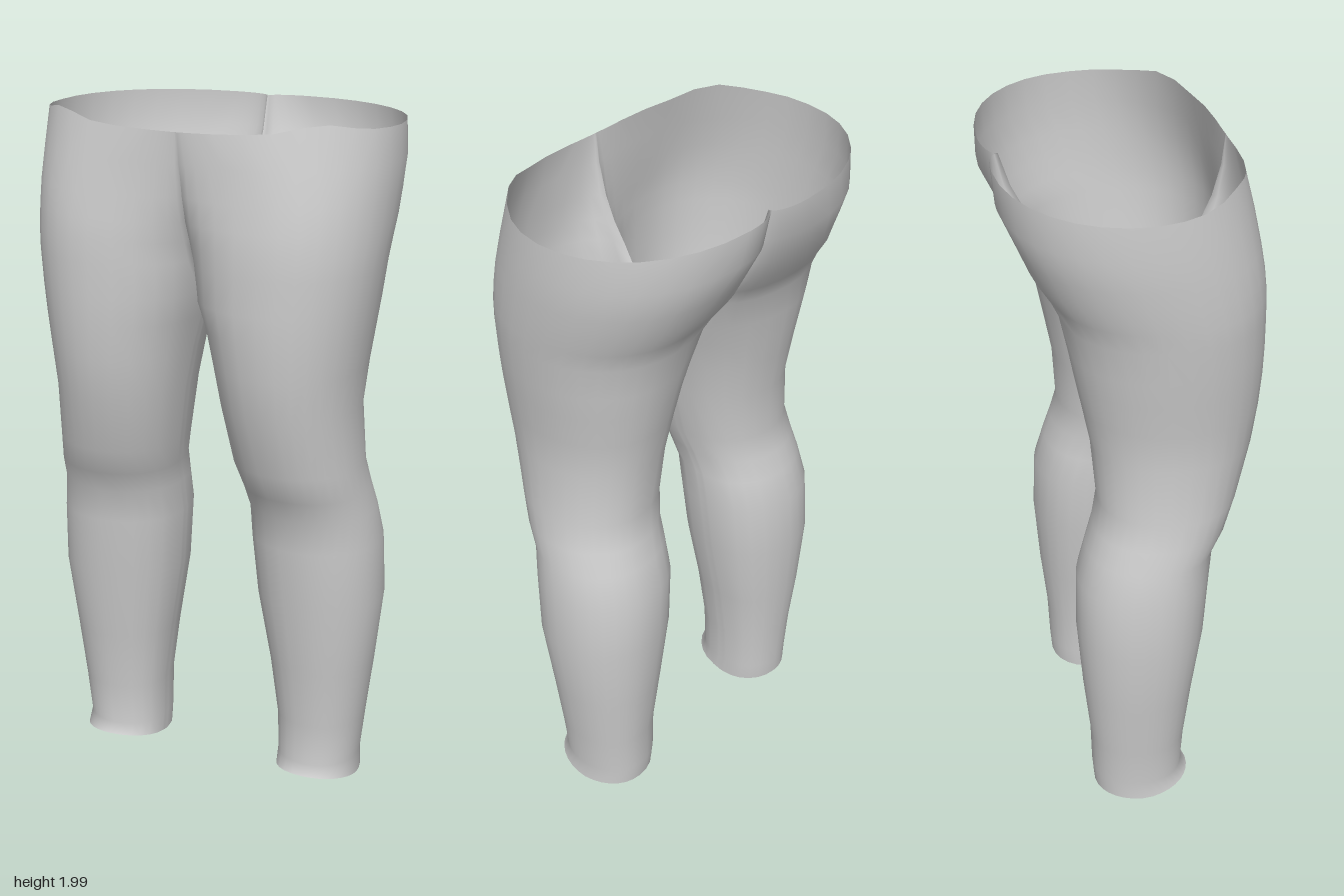
import * as THREE from 'three';
import { mergeGeometries, mergeVertices } from 'three/addons/utils/BufferGeometryUtils.js';

// Leg sections: y, inner x, outer x, front z, back z
const LEG = [
  [0.01, 0.2, 0.445, 0.15, -0.135],
  [0.07, 0.2, 0.44, 0.13, -0.14],
  [0.2, 0.197, 0.455, 0.135, -0.145],
  [0.38, 0.173, 0.477, 0.155, -0.165],
  [0.6, 0.135, 0.503, 0.185, -0.182],
  [0.78, 0.12, 0.497, 0.2, -0.178],
  [0.88, 0.12, 0.483, 0.21, -0.15],
  [0.95, 0.115, 0.472, 0.25, -0.13],
  [1.03, 0.095, 0.46, 0.28, -0.112],
  [1.2, 0.068, 0.45, 0.325, -0.125],
  [1.32, 0.045, 0.463, 0.342, -0.148],
  [1.42, 0.022, 0.477, 0.35, -0.168],
  [1.5, 0.006, 0.488, 0.352, -0.183],
];

// Hip sections: y, outer x, front peak x, z, back peak x, z, front seam z, back seam z
const HIP = [
  [1.6, 0.5, 0.25, 0.35, 0.23, -0.203, 0.17, -0.05],
  [1.66, 0.506, 0.25, 0.348, 0.22, -0.232, 0.205, -0.13],
  [1.72, 0.511, 0.25, 0.341, 0.2, -0.272, 0.245, -0.19],
  [1.79, 0.515, 0.24, 0.33, 0.18, -0.302, 0.276, -0.235],
  [1.88, 0.518, 0.2, 0.317, 0.14, -0.342, 0.3, -0.28],
  [1.975, 0.513, 0.1, 0.309, 0.11, -0.347, 0.31, -0.31],
];

const INNER = 6, OUTER = 8, WALL = 4;
const OPEN = 2 * INNER + 2 * OUTER;
const COLS = OPEN + WALL;

function legSection([y, xi, xo, zf, zb]) {
  const mid = (zf + zb) / 2, half = y > 1.45 ? 0.07 : 0.02, xc = (xi + xo) / 2;
  return { y, xi, xo, xf: xc, zf, xb: xc, zb, sf: mid + half, sb: mid - half };
}
function hipSection([y, xo, xf, zf, xb, zb, sf, sb]) {
  return { y, xi: 0, xo, xf, zf, xb, zb, sf, sb };
}

// Loop of points: front seam, front peak, outer side, back peak, back seam, inner wall
function sectionLoop(s) {
  const pts = [], zo = (s.zf + s.zb) / 2 + 0.01;
  const quarter = (xPeak, zPeak, xSide, zSide, n, toPeak) => {
    for (let i = 0; i < n; i++) {
      const a = (toPeak ? 1 - i / n : i / n) * Math.PI / 2;
      pts.push([xPeak + (xSide - xPeak) * Math.sin(a) ** 0.95,
        zSide + (zPeak - zSide) * Math.max(0, Math.cos(a)) ** 0.95]);
    }
  };
  quarter(s.xf, s.zf, s.xi, s.sf, INNER, true);
  quarter(s.xf, s.zf, s.xo, zo, OUTER, false);
  quarter(s.xb, s.zb, s.xo, zo, OUTER, true);
  quarter(s.xb, s.zb, s.xi, s.sb, INNER, false);
  for (let i = 0; i <= WALL; i++) pts.push([s.xi, s.sb + (s.sf - s.sb) * i / WALL]);
  return pts;
}

function halfGeometry(side) {
  const sections = [...LEG.map(legSection), ...HIP.map(hipSection)];
  const pos = [], index = [], last = sections.length - 1;
  sections.forEach((s, j) => sectionLoop(s).forEach(([x, z]) => {
    let y = s.y;
    if (j === 0) y += Math.max(0, z) * 0.2; // cuff rises at the front
    if (j === last) { // waistline lifts over the front of each hip
      y += z > 0 ? 0.025 * Math.exp(-(((x - 0.38) / 0.08) ** 2)) - 0.008 * Math.exp(-((x / 0.2) ** 2)) : 0;
    }
    pos.push(side * x, y, z);
  }));
  const row = COLS + 1;
  for (let j = 0; j < last; j++) {
    // above the crotch the two halves open into each other
    const n = j < LEG.length ? COLS : OPEN;
    for (let i = 0; i < n; i++) {
      const a = j * row + i, b = a + 1, c = a + row, d = c + 1;
      if (side > 0) index.push(a, b, d, a, d, c);
      else index.push(a, d, b, a, c, d);
    }
  }
  const g = new THREE.BufferGeometry();
  g.setAttribute('position', new THREE.Float32BufferAttribute(pos, 3));
  g.setIndex(index);
  return g;
}

export function createModel() {
  const group = new THREE.Group();
  group.name = 'trousers';
  const cloth = new THREE.MeshStandardMaterial({ color: 0xcccccc, side: THREE.DoubleSide });
  cloth.name = 'light grey cloth';

  // Both halves welded along the centre seam
  const geometry = mergeVertices(mergeGeometries([halfGeometry(1), halfGeometry(-1)]), 1e-4);
  geometry.computeVertexNormals();
  const mesh = new THREE.Mesh(geometry, cloth);
  mesh.name = 'trouserLegsAndHips';
  group.add(mesh);
  return group;
}
